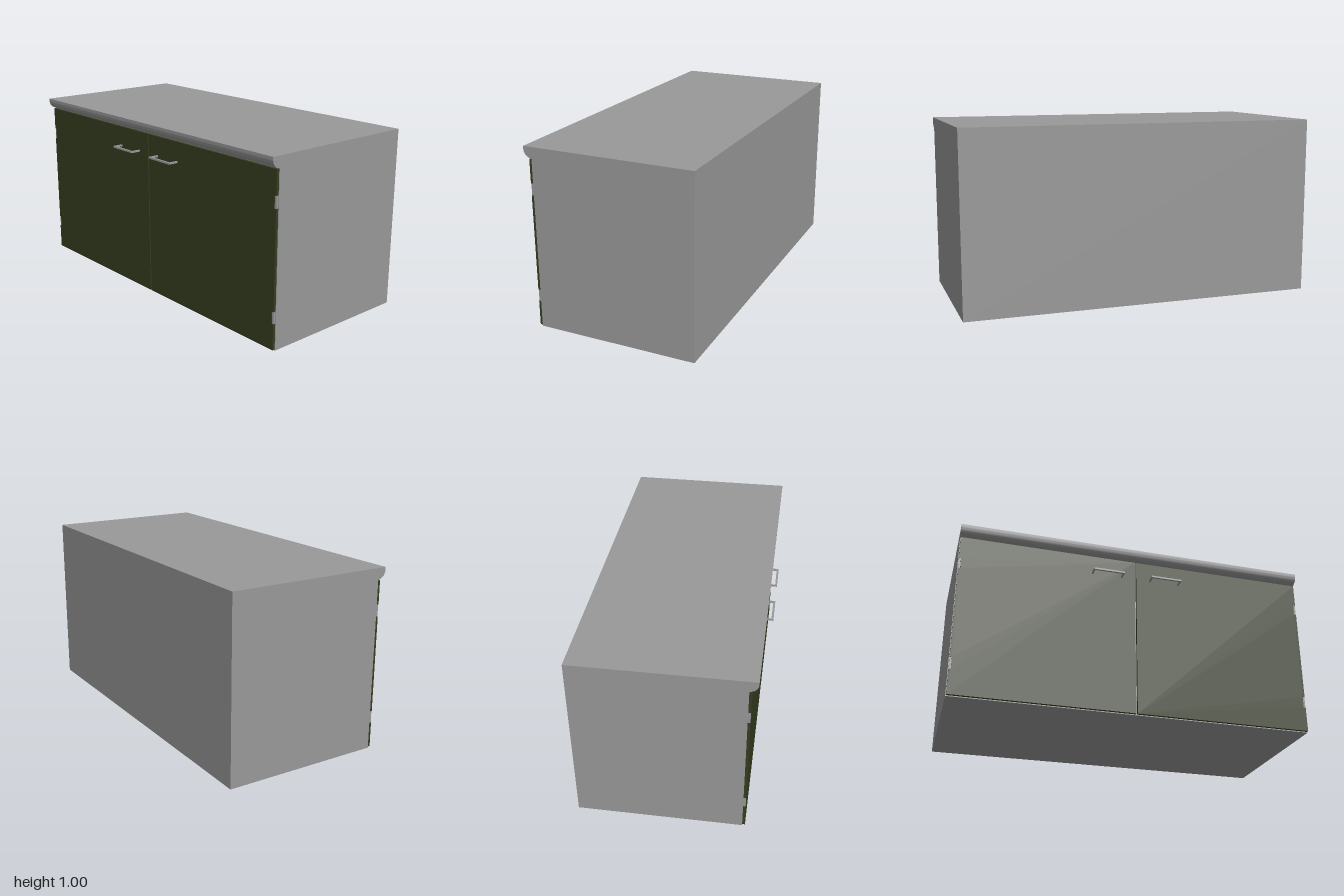
import * as THREE from 'three';
import { toCreasedNormals } from 'three/addons/utils/BufferGeometryUtils.js';

const FACE = -0.41;   // cabinet face that carries the doors
const DOOR = 0.015;   // door thickness
const HINGES = [0.178, 0.773];

export function createModel() {
  const grey = new THREE.MeshStandardMaterial({ color: 0x999999 });
  grey.name = 'grey';
  const green = new THREE.MeshStandardMaterial({ color: 0x353d20 });
  green.name = 'dark green';
  const model = new THREE.Group();
  model.name = 'cabinet';

  const add = (parent, name, geometry, material) => {
    const mesh = new THREE.Mesh(geometry, material);
    mesh.name = name;
    parent.add(mesh);
    return mesh;
  };
  const box = (parent, name, material, size, pos) =>
    add(parent, name, new THREE.BoxGeometry(...size), material).position.set(...pos);

  // Carcass and worktop share one profile with a rounded lip over the doors
  const profile = new THREE.Shape();
  profile.moveTo(0.483, 0);
  profile.lineTo(0.483, 1);
  profile.lineTo(-0.455, 1);
  profile.lineTo(-0.455, 0.985);
  profile.bezierCurveTo(-0.455, 0.96, -0.435, 0.94, FACE, 0.94);
  profile.lineTo(FACE, 0);
  profile.closePath();
  const body = new THREE.ExtrudeGeometry(profile, { depth: 2, bevelEnabled: false, curveSegments: 10 });
  body.translate(0, 0, -1);
  add(model, 'carcass', toCreasedNormals(body, 0.5), grey);

  for (const s of [-1, 1]) {
    const side = new THREE.Group();
    side.name = s > 0 ? 'frontDoor' : 'rearDoor';
    model.add(side);

    // Door panel, notched on its outer edge for the hinges
    const inner = 0.004, outer = 0.997, notch = 0.985, h = 0.033;
    const pts = [[inner, 0.005], [outer, 0.005]];
    for (const y of HINGES) pts.push([outer, y - h], [notch, y - h], [notch, y + h], [outer, y + h]);
    pts.push([outer, 0.935], [inner, 0.935]);
    const shape = new THREE.Shape(pts.map(([z, y]) => new THREE.Vector2(z * s, y)));
    const panel = new THREE.ExtrudeGeometry(shape, { depth: DOOR, bevelEnabled: false });
    panel.rotateY(-Math.PI / 2);
    panel.translate(FACE, 0, 0);
    add(side, 'doorPanel', panel, green);

    // Hinges in the notches
    for (const y of HINGES)
      box(side, 'hinge', grey, [0.013, 0.064, 0.011], [FACE - 0.0065, y, s * 0.991]);

    // Bar handle on two posts
    const z0 = 0.08, z1 = 0.257, y = 0.825;
    box(side, 'handleBar', grey, [0.011, 0.01, z1 - z0], [-0.4775, y, s * (z0 + z1) / 2]);
    for (const z of [z0 + 0.004, z1 - 0.004])
      box(side, 'handlePost', grey, [0.048, 0.01, 0.008], [-0.448, y, s * z]);
  }
  return model;
}
